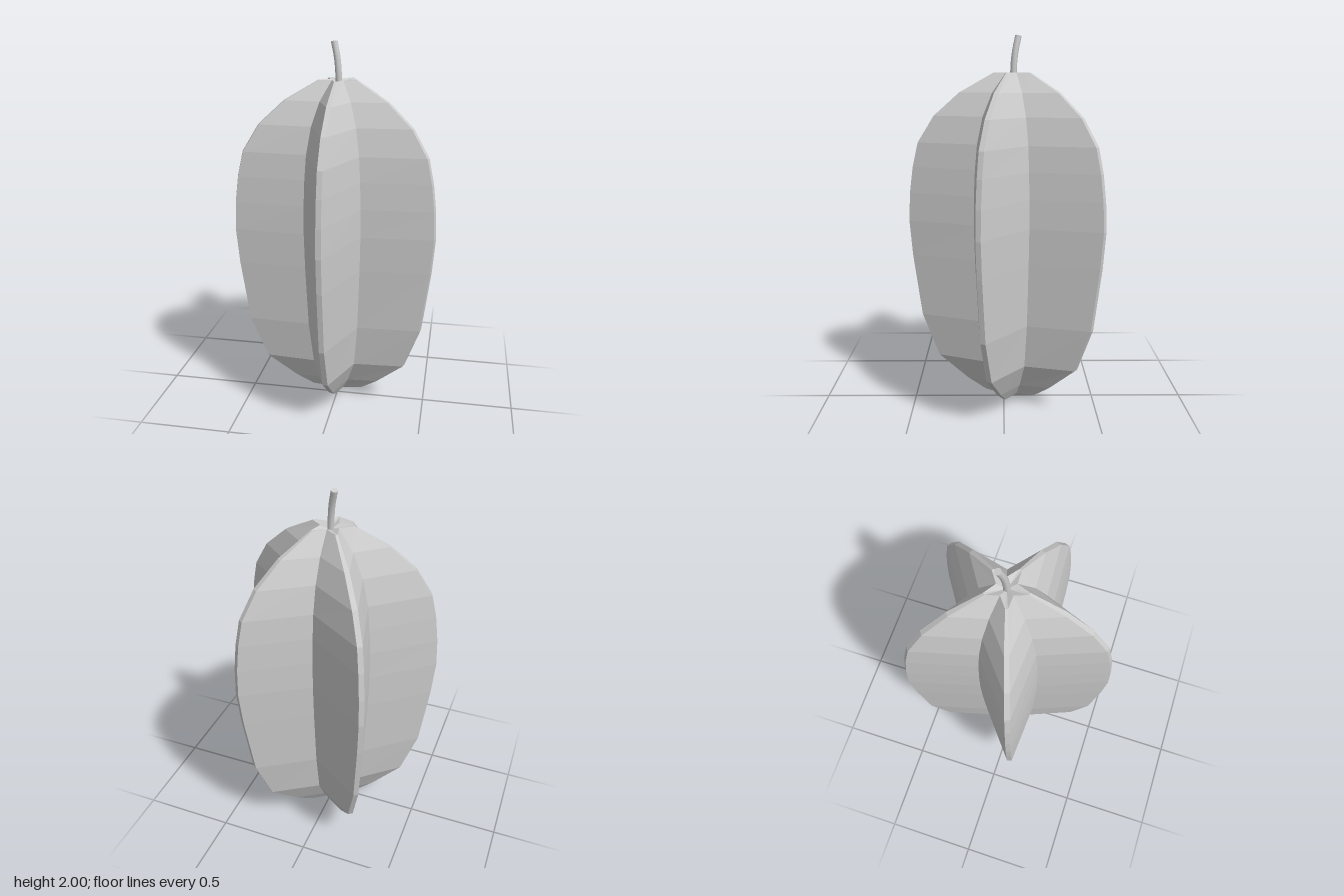
import * as THREE from 'three';

const CENTER_Z = -0.05;
const RIBS = 5;

// Rows from bottom to top: [height, ridge radius, valley radius]
const ROWS = [
  [0.05, 0.15, 0.07], [0.12, 0.25, 0.12], [0.26, 0.41, 0.195], [0.50, 0.50, 0.23],
  [0.84, 0.545, 0.25], [1.03, 0.56, 0.256], [1.18, 0.553, 0.254], [1.32, 0.535, 0.246],
  [1.45, 0.505, 0.232], [1.59, 0.418, 0.196], [1.71, 0.283, 0.136], [1.81, 0.105, 0.05],
];

// One star-shaped ring: every rib has a narrow blunt edge and a valley beside it
function starRing([y, ridge, valley]) {
  const half = 0.0135 * Math.min(1, 0.2 + ridge / 0.4);
  const points = [];
  for (let k = 0; k < RIBS; k++) {
    const a = (k * 2 * Math.PI) / RIBS;
    const s = Math.sin(a), c = Math.cos(a);
    for (const w of [-half, half]) points.push([s * ridge + c * w, y, c * ridge - s * w]);
    const v = a + Math.PI / RIBS;
    points.push([Math.sin(v) * valley, y, Math.cos(v) * valley]);
  }
  return points;
}

function fruitGeometry() {
  const n = RIBS * 3;
  const positions = ROWS.flatMap(starRing).flat();
  const bottom = ROWS.length * n, top = bottom + 1;
  positions.push(0, 0.005, 0, 0, 1.79, 0);
  const index = [];
  for (let j = 0; j < n; j++) {
    const k = (j + 1) % n;
    for (let i = 0; i < ROWS.length - 1; i++) {
      const a = i * n + j, b = i * n + k;
      index.push(a, b, b + n, a, b + n, a + n);
    }
    // Pointed base and slightly sunken crown
    const last = (ROWS.length - 1) * n;
    index.push(bottom, k, j, top, last + j, last + k);
  }
  const geometry = new THREE.BufferGeometry();
  geometry.setAttribute('position', new THREE.Float32BufferAttribute(positions, 3));
  geometry.setIndex(index);
  const flat = geometry.toNonIndexed();
  flat.computeVertexNormals();
  return flat;
}

export function createModel() {
  const group = new THREE.Group();
  group.name = 'starFruit';

  const fruit = new THREE.Mesh(
    fruitGeometry(),
    new THREE.MeshStandardMaterial({ color: 0xcccccc, flatShading: true })
  );
  fruit.name = 'fruitBody';
  fruit.position.z = CENTER_Z;
  group.add(fruit);

  // Bent stem with a closed end
  const stem = new THREE.Group();
  stem.name = 'stem';
  stem.position.z = CENTER_Z;
  const path = new THREE.CatmullRomCurve3([
    new THREE.Vector3(0, 1.78, 0),
    new THREE.Vector3(-0.003, 1.85, -0.002),
    new THREE.Vector3(-0.011, 1.92, -0.01),
    new THREE.Vector3(-0.029, 1.997, -0.026),
  ]);
  const material = new THREE.MeshStandardMaterial({ color: 0xcccccc });
  const stalk = new THREE.Mesh(new THREE.TubeGeometry(path, 8, 0.017, 8), material);
  stalk.name = 'stemStalk';
  const end = new THREE.Mesh(new THREE.CircleGeometry(0.017, 8), material);
  end.name = 'stemEnd';
  end.position.copy(path.getPoint(1));
  end.quaternion.setFromUnitVectors(new THREE.Vector3(0, 0, 1), path.getTangent(1));
  stem.add(stalk, end);
  group.add(stem);

  return group;
}
